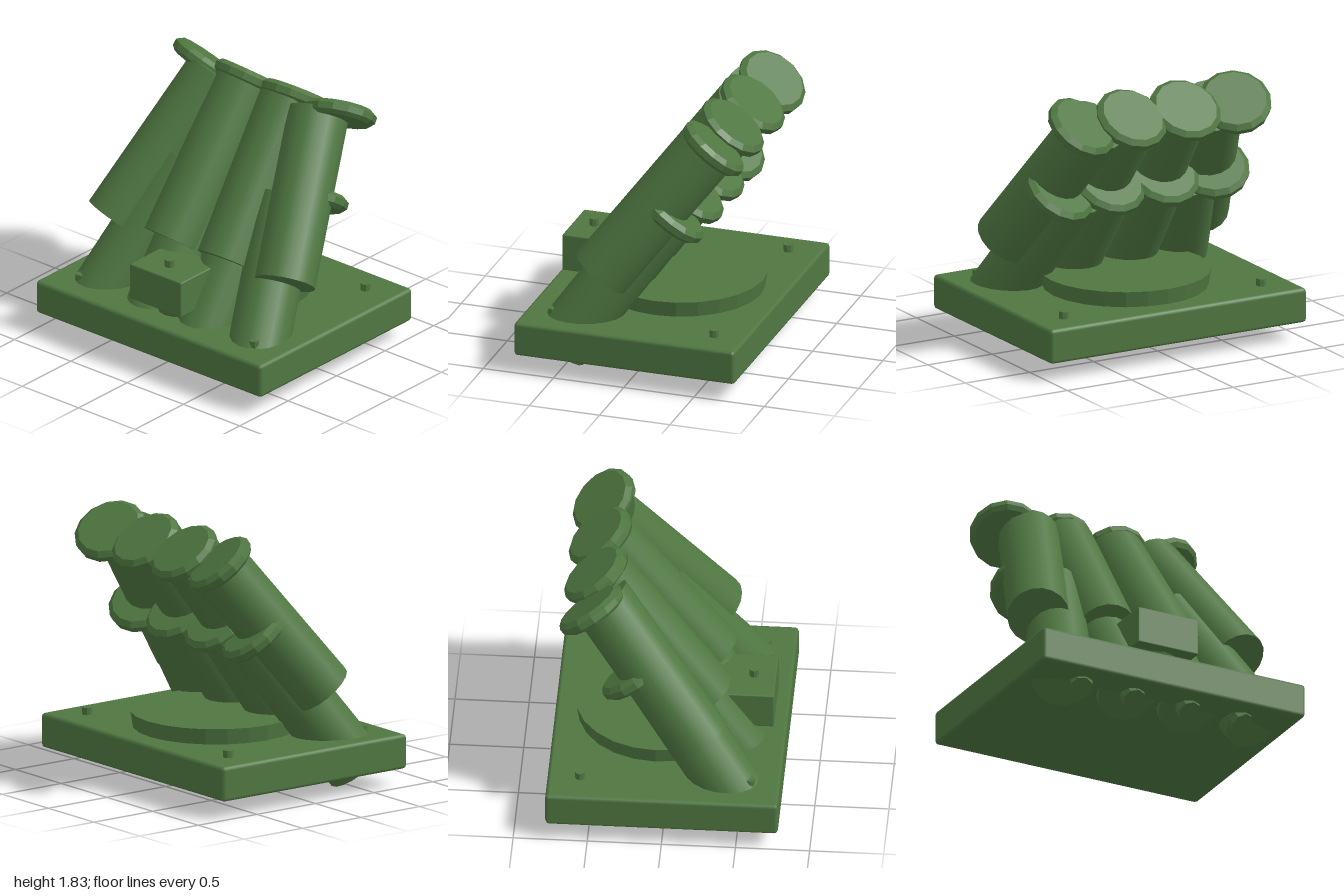
import * as THREE from 'three';
import { RoundedBoxGeometry } from 'three/addons/geometries/RoundedBoxGeometry.js';

const UP = new THREE.Vector3(0, 1, 0);

// Faceted copy of a geometry
function faceted(geometry) {
  const flat = geometry.toNonIndexed();
  flat.computeVertexNormals();
  return flat;
}

export function createModel() {
  const model = new THREE.Group();
  const green = new THREE.MeshStandardMaterial({ color: 0x4f7741 });
  green.name = 'olive green';

  function add(name, geometry, x, y, z, parent = model) {
    const mesh = new THREE.Mesh(geometry, green);
    mesh.name = name;
    mesh.position.set(x, y, z);
    parent.add(mesh);
    return mesh;
  }

  // Base slab, turntable and corner bolts
  add('base', new RoundedBoxGeometry(2, 0.24, 1.57, 1, 0.025), 0, 0.25, 0);
  add('turntable', faceted(new THREE.CylinderGeometry(0.58, 0.56, 0.12, 24)), 0, 0.42, -0.07);
  const boltGeometry = faceted(new THREE.CylinderGeometry(0.035, 0.035, 0.06, 8));
  for (const x of [-0.77, 0.77]) {
    for (const z of [-0.565, 0.58]) add('bolt', boltGeometry, x, 0.39, z);
  }

  // Control box on a short pedestal, with a button on top
  add('controlPedestal', new THREE.CylinderGeometry(0.15, 0.12, 0.1, 12), 0, 0.41, 0.49);
  add('controlBox', new RoundedBoxGeometry(0.46, 0.26, 0.4, 1, 0.01), -0.005, 0.585, 0.505);
  add('controlButton', faceted(new THREE.CylinderGeometry(0.033, 0.033, 0.06, 8)), -0.005, 0.737, 0.555);

  // Bevelled muzzle cap
  const capProfile = [[0, -0.05], [0.215, -0.05], [0.245, -0.025], [0.25, 0.02], [0.215, 0.05], [0, 0.05]]
    .map(([r, y]) => new THREE.Vector2(r, y));
  const capGeometry = faceted(new THREE.LatheGeometry(capProfile, 14));
  const nozzleGeometry = faceted(new THREE.CylinderGeometry(0.08, 0.08, 0.12, 8));

  // Two stacked rows of tubes that lean back and converge toward the top
  const rows = [
    { name: 'upper', bottom: [0.715, 0.25], top: [1.65, -0.45], cap: [1.66, -0.5],
      tubes: [[0.755, 0.455, 0.6], [0.24, 0.195, 0.21]] },
    { name: 'lower', bottom: [0.135, 0.55], top: [1.115, -0.145], cap: [1.125, -0.21],
      tubes: [[0.73, 0.44, 0.6], [0.23, 0.2, 0.21]], nozzle: [0.115, 0.57] },
  ];
  for (const row of rows) {
    for (const side of [-1, 1]) {
      for (const [bottomX, topX, capX] of row.tubes) {
        const tube = new THREE.Group();
        tube.name = row.name + 'Tube';
        model.add(tube);
        const start = new THREE.Vector3(side * bottomX, ...row.bottom);
        const end = new THREE.Vector3(side * topX, ...row.top);
        const axis = end.clone().sub(start);
        const turn = new THREE.Quaternion().setFromUnitVectors(UP, axis.clone().normalize());
        const middle = start.clone().lerp(end, 0.5);

        const barrel = new THREE.CylinderGeometry(0.21, 0.21, axis.length(), 18);
        add('barrel', barrel, middle.x, middle.y, middle.z, tube).quaternion.copy(turn);
        add('muzzleCap', capGeometry, side * capX, ...row.cap, tube).quaternion.copy(turn);
        if (row.nozzle) {
          add('nozzle', nozzleGeometry, side * capX, ...row.nozzle, tube).quaternion.copy(turn);
        }
      }
    }
  }
  return model;
}
